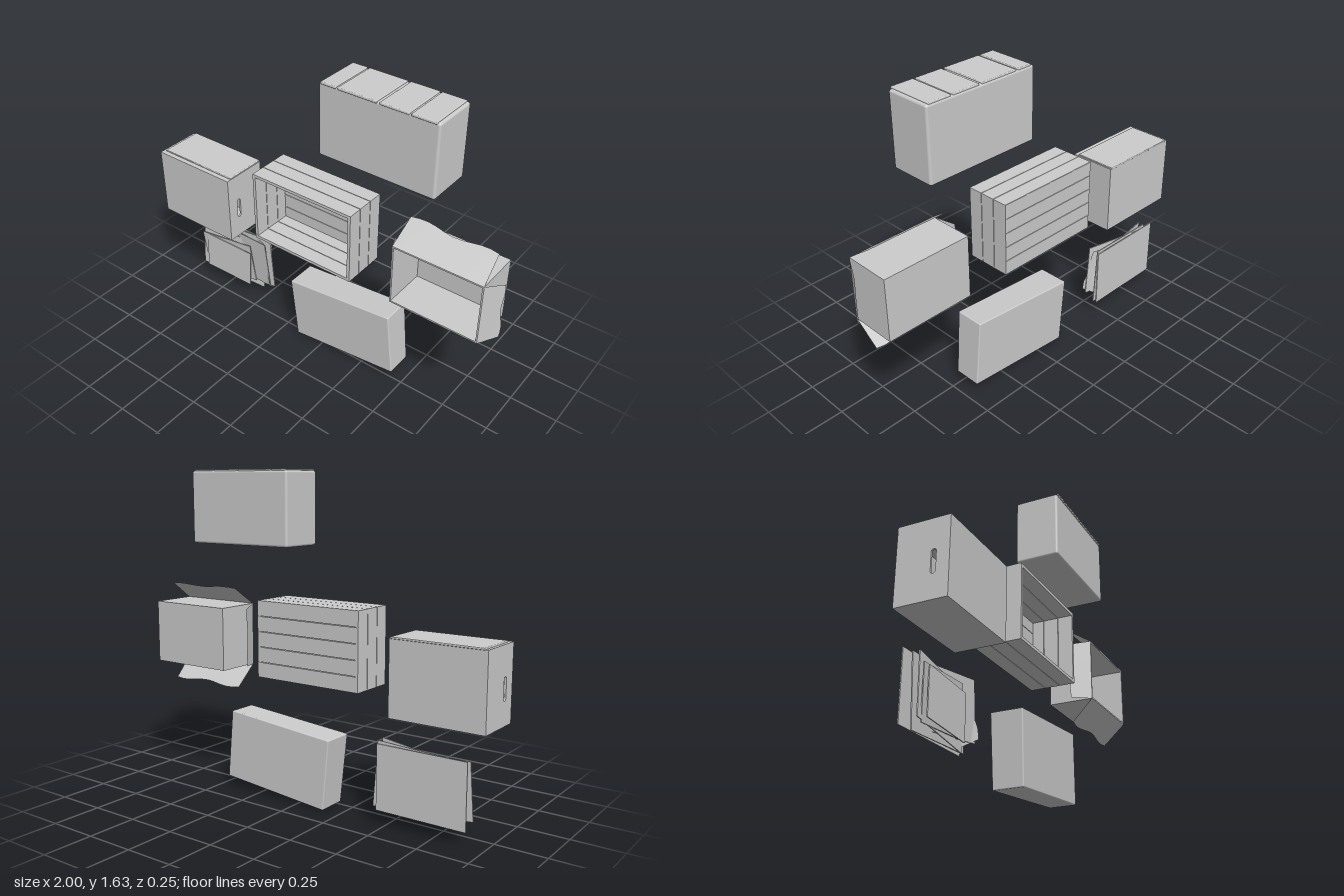
import * as THREE from 'three';
import { RoundedBoxGeometry } from 'three/addons/geometries/RoundedBoxGeometry.js';

const grey = new THREE.MeshStandardMaterial({ color: 0xcccccc });
const thin = new THREE.MeshStandardMaterial({ color: 0xcccccc, side: THREE.DoubleSide });

function add(parent, name, geometry, material = grey) {
  const mesh = new THREE.Mesh(geometry, material);
  mesh.name = name;
  parent.add(mesh);
  return mesh;
}

function group(parent, name) {
  const g = new THREE.Group();
  g.name = name;
  parent.add(g);
  return g;
}

// box given by its limits on each axis
function slab(parent, name, x0, x1, y0, y1, z0, z1, r = 0) {
  const s = [x1 - x0, y1 - y0, z1 - z0];
  const geo = r ? new RoundedBoxGeometry(...s, 3, r) : new THREE.BoxGeometry(...s);
  const mesh = add(parent, name, geo);
  mesh.position.set((x0 + x1) / 2, (y0 + y1) / 2, (z0 + z1) / 2);
  return mesh;
}

// thin panel stretched between a hinge edge (a-b) and a slightly wavy free edge (c-d)
function flap(parent, name, a, b, c, d, wave = 0.006) {
  const [A, B, C, D] = [a, b, c, d].map(p => new THREE.Vector3(...p));
  const geo = new THREE.PlaneGeometry(1, 1, 10, 3);
  const pos = geo.attributes.position;
  for (let i = 0; i < pos.count; i++) {
    const u = pos.getX(i) + 0.5, v = pos.getY(i) + 0.5;
    const hinge = A.clone().lerp(B, u), free = C.clone().lerp(D, u);
    const p = hinge.lerp(free, v * (1 + wave * 10 * Math.sin(u * 9)));
    pos.setXYZ(i, p.x, p.y, p.z);
  }
  geo.computeVertexNormals();
  return add(parent, name, geo, thin);
}

// side wall of the handled carton, with an upright grip slot
function slottedWall(parent, name, x, t) {
  const s = new THREE.Shape();
  s.moveTo(-0.125, 0.525).lineTo(0.125, 0.525).lineTo(0.125, 0.893).lineTo(-0.125, 0.893).closePath();
  const h = new THREE.Path();
  const r = 0.012, z = -0.052, y0 = 0.64, y1 = 0.75;
  h.absarc(z, y1 - r, r, 0, Math.PI, false);
  h.absarc(z, y0 + r, r, Math.PI, 2 * Math.PI, false);
  h.closePath();
  s.holes.push(h);
  const mesh = add(parent, name, new THREE.ExtrudeGeometry(s, { depth: t, bevelEnabled: false, curveSegments: 6 }));
  mesh.rotation.y = Math.PI / 2;
  mesh.position.x = x;
}

export function createModel() {
  const model = group(new THREE.Group(), 'boxes');

  // closed upper carton with folded top flaps
  const upper = group(model, 'closedCarton');
  slab(upper, 'cartonBody', 0.056, 0.665, 1.265, 1.629, -0.125, 0.113, 0.012);
  for (const [x0, x1] of [[0.07, 0.15], [0.16, 0.36], [0.375, 0.52], [0.53, 0.65]])
    slab(upper, 'topFlap', x0, x1, 1.622, 1.635, -0.12, 0.118, 0.004);

  // carton with grip slots on both ends
  const handled = group(model, 'handledCarton');
  const t = 0.01;
  slottedWall(handled, 'slottedEnd', -1, t);
  slottedWall(handled, 'slottedEnd', -0.52 - t, t);
  slab(handled, 'frontWall', -1, -0.52, 0.525, 0.893, 0.115, 0.125);
  slab(handled, 'backWall', -1, -0.52, 0.525, 0.893, -0.125, -0.115);
  slab(handled, 'bottomWall', -1, -0.52, 0.525, 0.535, -0.125, 0.125);
  slab(handled, 'topWall', -1, -0.52, 0.883, 0.893, -0.125, 0.125);
  slab(handled, 'topFlap', -0.985, -0.525, 0.89, 0.9, -0.128, 0.1, 0.004);

  // wooden crate of planks, open at the front
  const crate = group(model, 'crate');
  const X0 = -0.355, X1 = 0.24, Y0 = 0.615, Y1 = 1.0, Z0 = -0.125, Z1 = 0.115, w = 0.016, gap = 0.003;
  for (let i = 0; i < 5; i++) {
    const h = (Y1 - Y0) / 5, y = Y0 + i * h;
    slab(crate, 'backPlank', X0, X1, y + gap / 2, y + h - gap / 2, Z0, Z0 + w);
  }
  for (let i = 0; i < 3; i++) {
    const d = (Z1 - Z0) / 3, a = Z0 + i * d + gap / 2, b = Z0 + (i + 1) * d - gap / 2;
    slab(crate, 'topPlank', X0, X1, Y1 - w, Y1, a, b);
    slab(crate, 'bottomPlank', X0, X1, Y0, Y0 + w, a, b);
    slab(crate, 'leftPlank', X1 - w, X1, Y0 + w, Y1 - w, a, b);
    slab(crate, 'rightPlank', X0, X0 + w, Y0 + w, Y1 - w, a, b);
  }

  // open carton, its four flaps folded back
  const open = group(model, 'openCarton');
  const L = 0.472, R = 0.94, B = 0.615, T = 0.94, F = 0.113;
  slab(open, 'backWall', L, R, B, T, -0.125, -0.117);
  slab(open, 'topWall', L, R, T - 0.008, T, -0.125, F);
  slab(open, 'bottomWall', L, R, B, B + 0.008, -0.125, F);
  slab(open, 'rightWall', L, L + 0.008, B, T, -0.125, F);
  slab(open, 'leftWall', R - 0.008, R, B, T, -0.125, F);
  flap(open, 'topFlap', [L, T, F], [R, T, F], [0.48, 1.032, -0.02], [0.93, 1.03, -0.015]);
  flap(open, 'bottomFlap', [L, B, F], [R, B, F], [0.48, 0.505, 0], [0.93, 0.505, 0]);
  flap(open, 'leftFlap', [R, B, F], [R, T, F], [0.995, 0.615, 0.015], [0.99, 0.915, 0.015]);
  flap(open, 'rightFlap', [L, B, F], [L, T, F], [0.43, 0.62, 0.015], [0.43, 0.925, 0.015]);

  // tilted closed box with a slightly skewed front
  const low = slab(model, 'tiltedBox', -0.175, 0.435, 0.029, 0.387, -0.125, 0.03, 0.006);
  const p = low.geometry.attributes.position;
  for (let i = 0; i < p.count; i++)
    if (p.getZ(i) > 0) p.setZ(i, p.getZ(i) - 0.02 * p.getX(i) + 0.025 * p.getY(i));
  low.rotation.z = 0.091;

  // loose stack of flattened sheets: centre, size, turn, and tilts
  const stack = group(model, 'flatSheets');
  const sheets = [
    [-0.69, 0.235, -0.12, 0.46, 0.32, 0, 0, 0],
    [-0.67, 0.235, -0.1, 0.44, 0.32, 0.07, 0, 0.06],
    [-0.65, 0.25, -0.085, 0.42, 0.28, 0.1, 0.03, -0.1],
    [-0.7, 0.225, -0.07, 0.42, 0.28, -0.05, -0.04, 0.12],
    [-0.72, 0.22, -0.05, 0.34, 0.24, 0.09, 0.05, 0.08],
    [-0.71, 0.21, -0.035, 0.31, 0.22, -0.04, -0.03, 0.05]
  ];
  for (const [x, y, z, sw, sh, rz, rx, ry] of sheets) {
    const m = add(stack, 'sheet', new THREE.BoxGeometry(sw, sh, 0.005));
    m.position.set(x, y, z);
    m.rotation.set(rx, ry, rz);
  }
  // bent flap sticking out of the stack
  flap(stack, 'sheetFlap', [-0.53, 0.08, -0.105], [-0.55, 0.39, -0.105], [-0.425, 0.15, -0.05], [-0.47, 0.39, -0.08]);

  return model;
}
